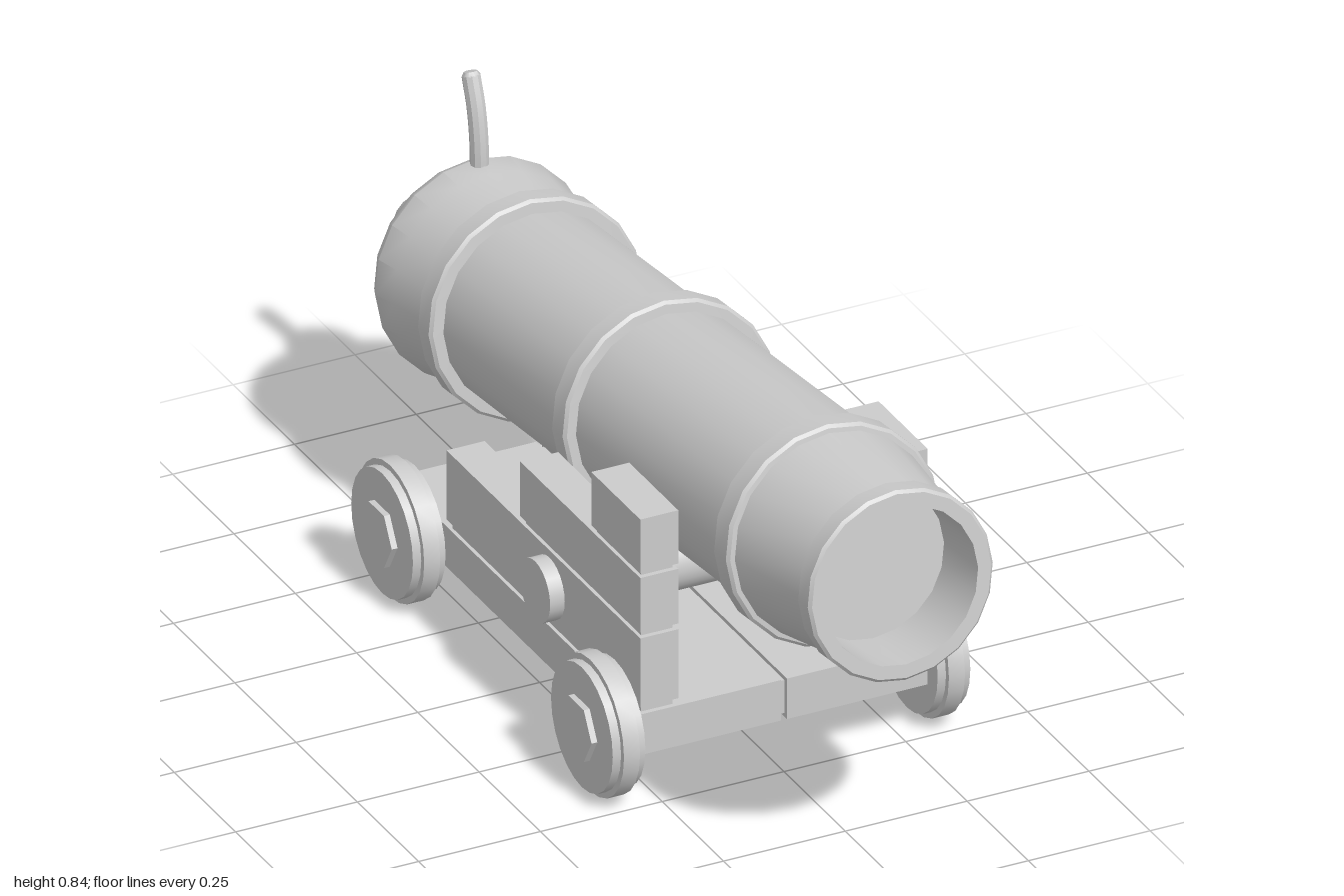
import * as THREE from 'three';
import { toCreasedNormals } from 'three/addons/utils/BufferGeometryUtils.js';

const material = new THREE.MeshStandardMaterial({ color: 0xcccccc });
const TILT = 0.11;

function add(parent, name, geometry, x = 0, y = 0, z = 0) {
  const mesh = new THREE.Mesh(toCreasedNormals(geometry, 0.6), material);
  mesh.name = name;
  mesh.position.set(x, y, z);
  parent.add(mesh);
  return mesh;
}

// box given by its lower and upper limits on each axis
function block(parent, name, [x0, x1], [y0, y1], [z0, z1]) {
  return add(parent, name, new THREE.BoxGeometry(x1 - x0, y1 - y0, z1 - z0),
    (x0 + x1) / 2, (y0 + y1) / 2, (z0 + z1) / 2);
}

// cylinder lying along x
function disc(parent, name, radius, x0, x1, sides) {
  const geometry = new THREE.CylinderGeometry(radius, radius, x1 - x0, sides).rotateZ(Math.PI / 2);
  return add(parent, name, geometry, (x0 + x1) / 2);
}

// raised band on the barrel: [radius, distance along the axis]
const band = (s0, s1, r) => [[r - 0.006, s0], [r, s0 + 0.006], [r, s1 - 0.006], [r - 0.006, s1]];

function createBarrel() {
  const barrel = new THREE.Group();
  barrel.name = 'barrel';
  const profile = [
    // knob and neck
    [0, -1.003], [0.04, -1.003], [0.06, -0.985], [0.07, -0.955], [0.07, -0.925],
    [0.062, -0.9], [0.055, -0.885], [0.055, -0.842],
    // breech
    [0.095, -0.842], [0.13, -0.832], [0.175, -0.798], [0.208, -0.763], [0.22, -0.735],
    [0.21, -0.68], [0.197, -0.566],
    ...band(-0.565, -0.51, 0.22),
    [0.193, -0.509], [0.195, -0.016],
    ...band(-0.015, 0.04, 0.22),
    [0.196, 0.041], [0.198, 0.649],
    ...band(0.65, 0.71, 0.22),
    // muzzle and bore
    [0.205, 0.711], [0.175, 0.934],
    ...band(0.935, 0.986, 0.19),
    [0.157, 0.986], [0.155, 0.85], [0, 0.85],
  ].map(([r, s]) => new THREE.Vector2(r, s));
  add(barrel, 'barrelBody', new THREE.LatheGeometry(profile, 20));
  barrel.rotation.x = Math.PI / 2 - TILT;
  barrel.position.y = 0.523;
  return barrel;
}

function createFuse() {
  const fuse = new THREE.Group();
  fuse.name = 'fuse';
  const path = new THREE.CatmullRomCurve3([
    new THREE.Vector3(0, 0.63, -0.742),
    new THREE.Vector3(0, 0.7, -0.744),
    new THREE.Vector3(0, 0.77, -0.756),
    new THREE.Vector3(0, 0.826, -0.777),
  ]);
  add(fuse, 'fuseCord', new THREE.TubeGeometry(path, 10, 0.018, 10));
  // closed tip
  const tip = add(fuse, 'fuseTip', new THREE.CylinderGeometry(0.013, 0.018, 0.008, 10), 0, 0.829, -0.778);
  tip.rotation.x = -0.35;
  return fuse;
}

function createWheel(side, z) {
  const wheel = new THREE.Group();
  wheel.name = 'wheel';
  disc(wheel, 'wheelBody', 0.126, 0.3, 0.367, 24);
  disc(wheel, 'wheelTread', 0.138, 0.317, 0.35, 24);
  disc(wheel, 'wheelHub', 0.063, 0.29, 0.379, 6);
  wheel.position.set(0, 0.139, z);
  if (side < 0) wheel.rotation.y = Math.PI;
  return wheel;
}

function createCarriage() {
  const carriage = new THREE.Group();
  carriage.name = 'carriage';
  for (const side of [-1, 1]) {
    const span = (a, b) => (side > 0 ? [a, b] : [-b, -a]);
    block(carriage, 'basePlank', span(0.006, 0.295), [0.11, 0.195], [-0.5, 0.5]);
    // stepped cheek planks
    block(carriage, 'lowerCheek', span(0.217, 0.295), [0.21, 0.355], [-0.29, 0.5]);
    block(carriage, 'middleCheek', span(0.217, 0.295), [0.367, 0.482], [0.01, 0.5]);
    block(carriage, 'upperCheek', span(0.217, 0.295), [0.493, 0.605], [0.3, 0.5]);
    // recessed spacers between the planks
    block(carriage, 'spacer', span(0.224, 0.288), [0.19, 0.215], [-0.28, 0.49]);
    block(carriage, 'spacer', span(0.224, 0.288), [0.35, 0.372], [0.02, 0.49]);
    block(carriage, 'spacer', span(0.224, 0.288), [0.477, 0.498], [0.31, 0.49]);
    for (const z of [-0.41, 0.405]) carriage.add(createWheel(side, z));
  }
  // strip closing the joint between the base planks
  block(carriage, 'baseJoint', [-0.008, 0.008], [0.118, 0.187], [-0.49, 0.49]);
  disc(carriage, 'crossBar', 0.062, -0.325, 0.325, 24).position.set(0, 0.278, 0.13);
  return carriage;
}

export function createModel() {
  const model = new THREE.Group();
  model.name = 'cannon';
  model.add(createBarrel(), createFuse(), createCarriage());
  return model;
}
